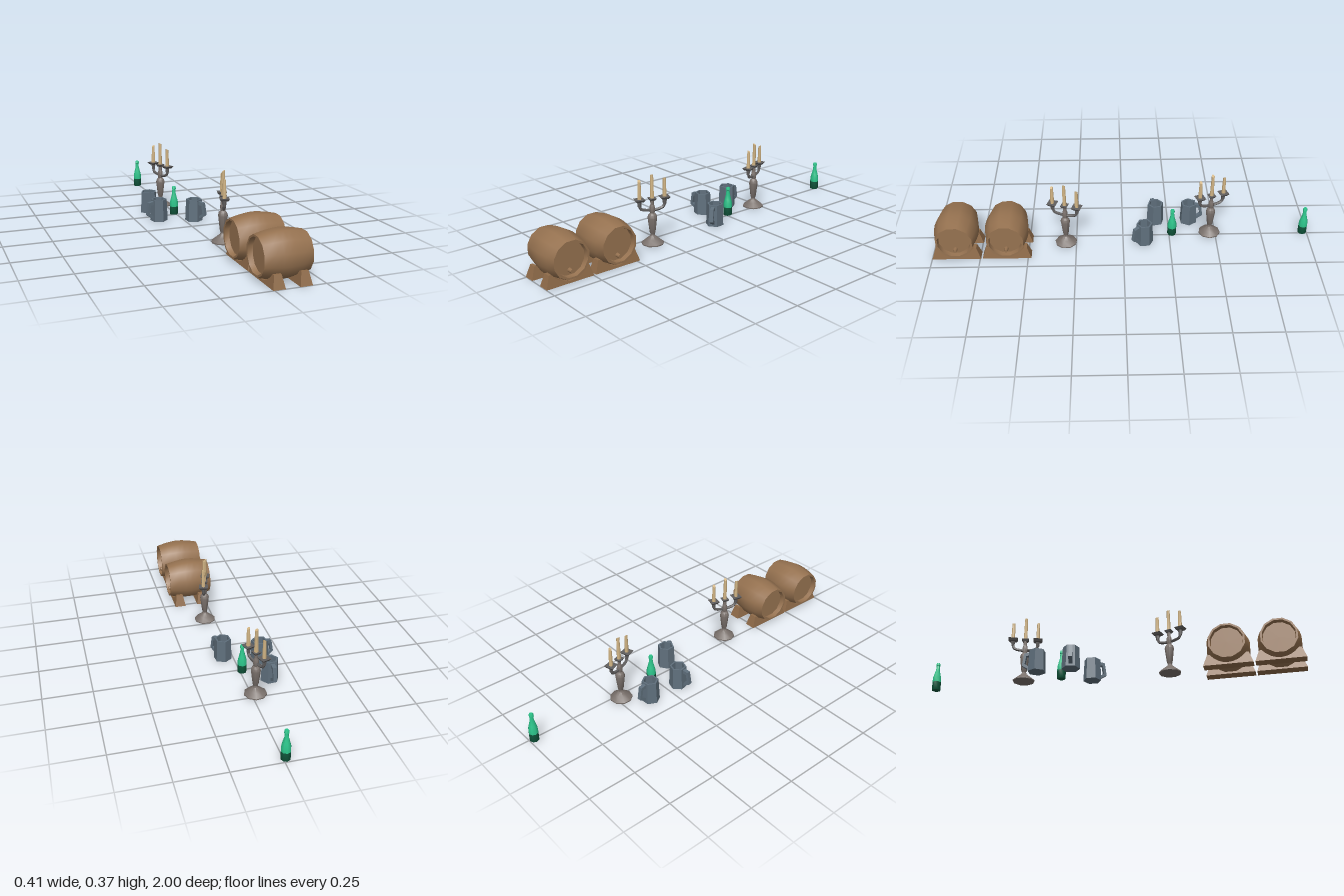
import * as THREE from 'three';
import { toCreasedNormals } from 'three/addons/utils/BufferGeometryUtils.js';

const paint = (name, color, extra = {}) => {
  const m = new THREE.MeshStandardMaterial({ color, ...extra });
  m.name = name;
  return m;
};

export function createModel() {
  const wood = paint('barrelWood', 0x967250);
  const standWood = paint('standWood', 0x8f6b49);
  const pewter = paint('pewter', 0x5f6f7c, { flatShading: true });
  const iron = paint('stemMetal', 0x7a716c);
  const darkIron = paint('armMetal', 0x615f5f, { flatShading: true });
  const wax = paint('wax', 0xd2b585);
  const glass = paint('greenGlass', 0x2cc48a);
  const darkGlass = paint('darkGreenGlass', 0x10583d);

  const root = new THREE.Group();
  const add = (parent, name, geometry, material, x = 0, y = 0, z = 0) => {
    const mesh = new THREE.Mesh(geometry, material);
    mesh.name = name;
    mesh.position.set(x, y, z);
    parent.add(mesh);
    return mesh;
  };
  const place = (name, x, z, turn = 0) => {
    const g = new THREE.Group();
    g.name = name;
    g.position.set(x, 0, z);
    g.rotation.y = turn;
    root.add(g);
    return g;
  };
  // Turned profile of [radius, height] pairs, listed from the bottom up
  const lathe = (points, sides, crease = 0.75) => toCreasedNormals(
    new THREE.LatheGeometry(points.map(p => new THREE.Vector2(...p)), sides), crease);

  // Barrel: bulging staves, a recessed head at each end
  const barrelGeo = lathe([
    [0, -0.092], [0.083, -0.092], [0.086, -0.118], [0.096, -0.118], [0.107, -0.07], [0.113, -0.03],
    [0.115, 0], [0.113, 0.03], [0.107, 0.07], [0.096, 0.118], [0.086, 0.118], [0.083, 0.092], [0, 0.092],
  ], 12);
  barrelGeo.rotateY(Math.PI / 12);
  barrelGeo.rotateZ(-Math.PI / 2);

  // Cradle beam: hollowed top, sides leaning inwards
  const cradle = new THREE.Shape();
  cradle.moveTo(-0.127, 0);
  cradle.lineTo(0.127, 0);
  cradle.lineTo(0.106, 0.062);
  cradle.lineTo(0.092, 0.062);
  cradle.quadraticCurveTo(0.055, 0.012, 0, 0.01);
  cradle.quadraticCurveTo(-0.055, 0.012, -0.092, 0.062);
  cradle.lineTo(-0.106, 0.062);
  cradle.closePath();
  const cradleExtrude = new THREE.ExtrudeGeometry(cradle, { depth: 0.06, bevelEnabled: false, curveSegments: 4 });
  cradleExtrude.translate(0, 0, -0.03);
  const cp = cradleExtrude.attributes.position;
  for (let i = 0; i < cp.count; i++) cp.setZ(i, cp.getZ(i) * (1 - 6.5 * cp.getY(i)));
  cradleExtrude.rotateY(Math.PI / 2);
  const cradleGeo = toCreasedNormals(cradleExtrude, 0.5);

  const tapGeo = new THREE.CylinderGeometry(0.009, 0.012, 0.026, 8).rotateZ(-Math.PI / 2);
  for (const z of [0.61, 0.873]) {
    const g = place('barrelOnStand', 0.083, z);
    add(g, 'barrel', barrelGeo, wood, 0, 0.119, 0);
    add(g, 'bung', tapGeo, wood, 0.103, 0.062, 0);
    for (const x of [-0.06, 0.07]) add(g, 'cradleBeam', cradleGeo, standWood, x, 0, 0);
  }

  // Candelabra
  const stemGeo = lathe([
    [0, 0], [0.058, 0], [0.058, 0.006], [0.034, 0.026], [0.014, 0.042], [0.011, 0.052], [0.015, 0.06],
    [0.025, 0.14], [0.021, 0.155], [0.012, 0.165], [0.015, 0.18], [0.013, 0.2], [0.009, 0.21], [0.01, 0.238], [0, 0.238],
  ], 9);
  const panGeo = new THREE.CylinderGeometry(0.035, 0.024, 0.012, 4).rotateY(Math.PI / 4);
  const cupGeo = new THREE.CylinderGeometry(0.012, 0.009, 0.024, 6);
  const armGeo = new THREE.TubeGeometry(new THREE.CatmullRomCurve3([
    new THREE.Vector3(0.005, 0.18, 0), new THREE.Vector3(0.03, 0.182, 0),
    new THREE.Vector3(0.06, 0.192, 0), new THREE.Vector3(0.067, 0.215, 0),
  ]), 6, 0.008, 5);
  // Candle with a slanted, melted top
  const candleGeo = (height) => {
    const g = new THREE.CylinderGeometry(0.008, 0.0105, height, 7, 1);
    g.translate(0, height / 2, 0);
    const p = g.attributes.position;
    for (let i = 0; i < p.count; i++) {
      if (p.getY(i) > height / 2) p.setY(i, height - 0.005 + p.getZ(i) * 0.6);
    }
    return toCreasedNormals(g, 0.95);
  };
  const shortCandle = candleGeo(0.102), tallCandle = candleGeo(0.127);
  for (const [x, z, turn] of [[0.05, 0.305, 1.27], [-0.021, -0.47, -1.25]]) {
    const g = place('candelabrum', x, z, turn);
    add(g, 'stem', stemGeo, iron);
    add(g, 'centrePan', panGeo, darkIron, 0, 0.238, 0).scale.set(0.75, 1, 0.75);
    add(g, 'centreCandle', tallCandle, wax, 0, 0.244, 0);
    for (const side of [0, Math.PI]) {
      const arm = new THREE.Group();
      arm.name = 'branch';
      arm.rotation.y = side;
      g.add(arm);
      add(arm, 'arm', armGeo, darkIron);
      add(arm, 'cup', cupGeo, darkIron, 0.067, 0.218, 0);
      add(arm, 'pan', panGeo, darkIron, 0.067, 0.239, 0);
      add(arm, 'candle', shortCandle, wax, 0.067, 0.244, 0);
    }
  }

  // Tankards: hollow six-sided body and an angular handle
  const mugGeo = lathe([
    [0, 0], [0.048, 0], [0.043, 0.119], [0.034, 0.119], [0.034, 0.03], [0, 0.03],
  ], 6, 0.5);
  const handle = new THREE.Shape([
    [0.034, 0.112], [0.067, 0.106], [0.078, 0.038], [0.036, 0.01],
    [0.036, 0.028], [0.063, 0.046], [0.056, 0.09], [0.034, 0.093],
  ].map(p => new THREE.Vector2(...p)));
  const handleGeo = new THREE.ExtrudeGeometry(handle, { depth: 0.02, bevelEnabled: false }).translate(0, 0, -0.01);
  for (const [x, z, dx, dz] of [[-0.127, -0.363, -0.005, -0.07], [-0.127, -0.18, -0.075, 0.018], [0.053, -0.113, 0.045, 0.066]]) {
    const g = place('tankard', x, z, Math.atan2(-dz, dx));
    add(g, 'body', mugGeo, pewter);
    add(g, 'handle', handleGeo, pewter);
  }

  // Bottles: dark filled base, bright shoulder, neck and lip
  const baseGeo = lathe([[0, 0], [0.022, 0], [0.024, 0.004], [0.024, 0.046]], 8, 0.9);
  const neckGeo = lathe([
    [0.024, 0.046], [0.0235, 0.07], [0.018, 0.092], [0.011, 0.118], [0.009, 0.142],
    [0.012, 0.144], [0.012, 0.152], [0.009, 0.16], [0, 0.16],
  ], 8, 0.9);
  for (const z of [-0.265, -0.976]) {
    const g = place('bottle', -0.01, z);
    add(g, 'bottleBase', baseGeo, darkGlass);
    add(g, 'bottleTop', neckGeo, glass);
  }
  return root;
}
